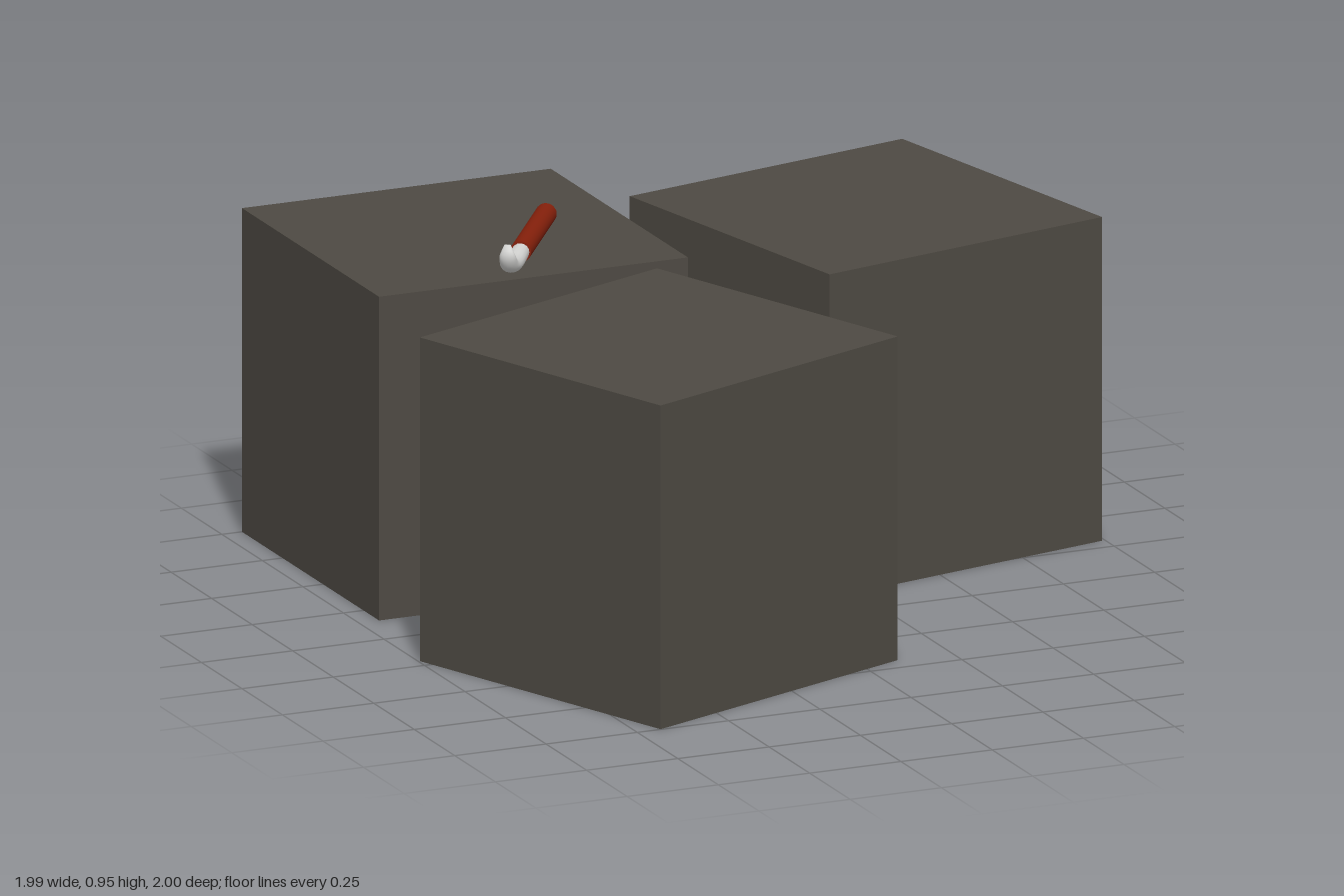
import * as THREE from 'three';

const SIZE = 0.846;

// Lofts elliptical rings along a path: [x, y, half thickness, half width]
function loft(stations, steps, sides) {
  const path = new THREE.CatmullRomCurve3(stations.map(([x, y]) => new THREE.Vector3(x, y, 0)));
  const sizes = new THREE.CatmullRomCurve3(stations.map((s) => new THREE.Vector3(s[2], s[3], 0)));
  const pos = [];
  const index = [];
  for (let i = 0; i <= steps; i++) {
    const p = path.getPoint(i / steps);
    const t = path.getTangent(i / steps);
    const r = sizes.getPoint(i / steps);
    for (let j = 0; j < sides; j++) {
      const a = (j / sides) * Math.PI * 2;
      const h = Math.cos(a) * r.x;
      pos.push(p.x - t.y * h, p.y + t.x * h, Math.sin(a) * r.y);
      if (i < steps) {
        const k = i * sides + j;
        const n = i * sides + ((j + 1) % sides);
        index.push(k, k + sides, n, n, k + sides, n + sides);
      }
    }
  }
  const g = new THREE.BufferGeometry();
  g.setAttribute('position', new THREE.Float32BufferAttribute(pos, 3));
  g.setIndex(index);
  g.computeVertexNormals();
  return g;
}

export function createModel() {
  const model = new THREE.Group();
  const stone = new THREE.MeshStandardMaterial({ color: 0x4e4a43 });
  stone.name = 'dark stone';
  const red = new THREE.MeshStandardMaterial({ color: 0x85200b });
  red.name = 'red handle';
  const steel = new THREE.MeshStandardMaterial({ color: 0xd6d6d4, side: THREE.DoubleSide });
  steel.name = 'pale steel';

  // Three loose blocks: name, x, z, turn
  const blocks = [
    ['backBlock', -0.522, -0.577, 0],
    ['leftBlock', 0.488, -0.378, 0.215],
    ['frontBlock', -0.447, 0.45, 0.375],
  ];
  for (const [name, x, z, turn] of blocks) {
    const block = new THREE.Mesh(new THREE.BoxGeometry(SIZE, SIZE, SIZE), stone);
    block.name = name;
    block.position.set(x, SIZE / 2, z);
    block.rotation.y = turn;
    model.add(block);
  }

  // Hooked tool lying on the back block; its local +x runs to the blade
  const tool = new THREE.Group();
  tool.name = 'hookedTool';
  tool.position.set(-0.505, 0.878, -0.272);
  tool.rotation.y = Math.atan2(-0.821, -0.571);
  model.add(tool);

  const length = 0.34;
  const handle = new THREE.Mesh(new THREE.CylinderGeometry(0.027, 0.027, length, 20), red);
  handle.name = 'handle';
  handle.rotation.z = Math.PI / 2;
  handle.position.x = -length / 2;
  tool.add(handle);

  // Blade that curls up to a thin tip
  const blade = new THREE.Mesh(loft([
    [-0.01, 0, 0.022, 0.022],
    [0.05, 0, 0.022, 0.025],
    [0.105, 0.001, 0.022, 0.026],
    [0.148, 0.012, 0.02, 0.024],
    [0.171, 0.038, 0.012, 0.021],
    [0.172, 0.069, 0.001, 0.008],
  ], 20, 16), steel);
  blade.name = 'curvedBlade';
  tool.add(blade);

  return model;
}
